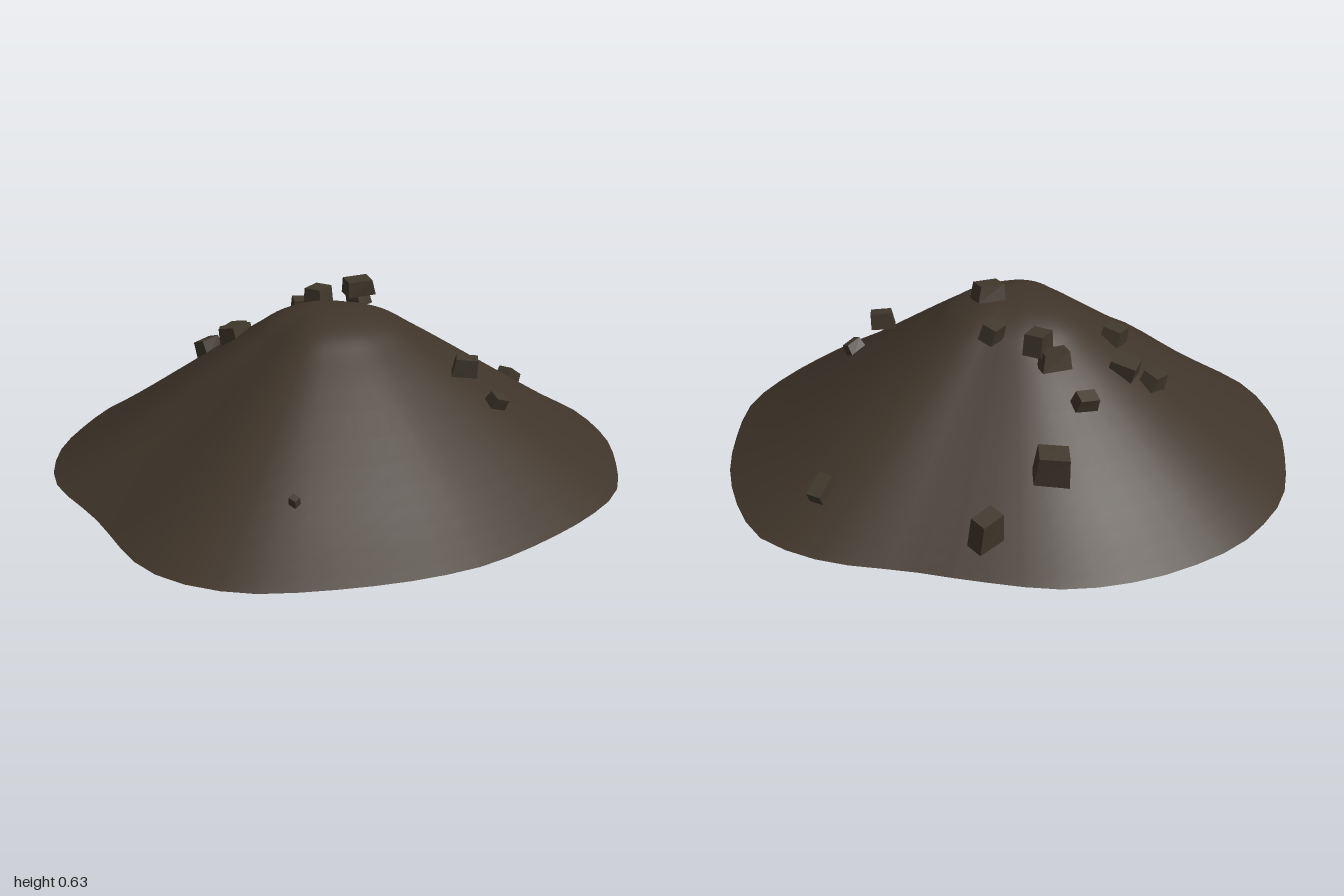
import * as THREE from 'three';

const soil = new THREE.MeshStandardMaterial({ color: 0x40352a });
soil.name = 'soil';
const clod = new THREE.MeshStandardMaterial({ color: 0x40382c });
clod.name = 'clod';

// Footprint of the heap as x, z pairs, running back -> left -> front -> right
const FOOTPRINT = [
  [-0.07, -0.99], [0.2, -0.935], [0.43, -0.81], [0.6, -0.62], [0.74, -0.43], [0.91, -0.22],
  [0.985, -0.05], [1, 0.03], [0.98, 0.17], [0.88, 0.42], [0.73, 0.63], [0.55, 0.81], [0.3, 0.915],
  [-0.05, 0.982], [-0.19, 0.985], [-0.45, 0.93], [-0.8, 0.77], [-0.9, 0.67], [-0.97, 0.55],
  [-1, 0.41], [-0.97, 0.04], [-0.97, -0.22], [-0.95, -0.34], [-0.83, -0.57], [-0.66, -0.75],
  [-0.45, -0.91], [-0.2, -0.985],
];

// Height against the fraction of the way from summit to rim
const SLOPE = [[0, 0.55], [0.08, 0.547], [0.15, 0.53], [0.22, 0.5], [0.29, 0.455],
  [0.4, 0.385], [0.65, 0.22], [0.85, 0.09], [1, 0]];

const SUMMIT = [-0.05, 0.01];

function rim(count) {
  const curve = new THREE.CatmullRomCurve3(
    FOOTPRINT.map(([x, z]) => new THREE.Vector3(x, 0, z)), true);
  return curve.getSpacedPoints(count).slice(0, count);
}

// Rings shrink from the rim to the summit while rising along the slope
function moundGeometry(outline) {
  const n = outline.length;
  const rings = new THREE.SplineCurve(SLOPE.map((p) => new THREE.Vector2(...p))).getPoints(24).slice(1);
  const pos = [SUMMIT[0], SLOPE[0][1], SUMMIT[1]];
  const index = [];
  rings.forEach((ring, r) => {
    for (let i = 0; i < n; i++) {
      const p = outline[i];
      pos.push(SUMMIT[0] + (p.x - SUMMIT[0]) * ring.x, ring.y, SUMMIT[1] + (p.z - SUMMIT[1]) * ring.x);
      const j = (i + 1) % n;
      const a = 1 + r * n + i, b = 1 + r * n + j;
      if (r === 0) index.push(0, b, a);
      else index.push(a - n, b - n, b, a - n, b, a);
    }
  });
  const geo = new THREE.BufferGeometry();
  geo.setAttribute('position', new THREE.Float32BufferAttribute(pos, 3));
  geo.setIndex(index);
  geo.computeVertexNormals();
  return geo;
}

// Flat underside
function baseGeometry(outline) {
  const geo = new THREE.ShapeGeometry(new THREE.Shape(outline.map((p) => new THREE.Vector2(p.x, p.z))));
  geo.rotateX(Math.PI / 2);
  return geo;
}

// Rough block: a box whose upper face is narrower and skewed
function clodGeometry(w, h, d, skew) {
  const geo = new THREE.BoxGeometry(w, h, d).toNonIndexed();
  const p = geo.attributes.position;
  for (let i = 0; i < p.count; i++) {
    if (p.getY(i) > 0) {
      p.setX(i, p.getX(i) * 0.85 + skew * w);
      p.setZ(i, p.getZ(i) * 0.88 - skew * d);
    } else if (p.getX(i) > 0) p.setZ(i, p.getZ(i) * 0.9);
  }
  geo.computeVertexNormals();
  return geo;
}

// x, y, z, width, height, depth, pitch, yaw, roll
const CLODS = [
  [0.07, 0.602, 0.0, 0.1, 0.055, 0.075, 0.1, -0.25, 0.08],
  [0.15, 0.52, -0.12, 0.075, 0.06, 0.06, -0.3, 0.3, 0.1],
  [0.065, 0.505, -0.25, 0.09, 0.075, 0.075, 0, 0.4, 0.05],
  [0.05, 0.46, -0.315, 0.1, 0.06, 0.07, 0.1, -0.4, 0],
  [0.035, 0.36, -0.455, 0.08, 0.05, 0.055, -0.4, -0.3, 0],
  [-0.2, 0.38, -0.39, 0.085, 0.06, 0.1, -0.25, 0.5, 0],
  [-0.28, 0.325, -0.455, 0.085, 0.06, 0.065, -0.3, 0.15, 0.2],
  [-0.28, 0.425, -0.26, 0.095, 0.06, 0.075, -0.2, 0.4, 0.2],
  [0.27, 0.258, -0.56, 0.115, 0.11, 0.085, -0.2, -0.65, 0],
  [0.54, 0.13, -0.555, 0.1, 0.11, 0.065, -0.2, 0.1, -0.1],
  [0.79, 0.125, -0.03, 0.1, 0.06, 0.06, 0, 0.35, -0.55],
  [0.22, 0.393, 0.41, 0.085, 0.06, 0.06, 0.1, -0.65, 0],
  [0.3, 0.275, 0.485, 0.065, 0.05, 0.05, 0.4, -0.1, -0.3],
  [-0.575, 0.172, 0.61, 0.025, 0.03, 0.03, 0.3, 0.3, 0.3],
];

export function createModel() {
  const group = new THREE.Group();
  group.name = 'dirtHeap';
  const add = (name, geo, mat) => {
    const mesh = new THREE.Mesh(geo, mat);
    mesh.name = name;
    group.add(mesh);
    return mesh;
  };

  const outline = rim(56);
  add('mound', moundGeometry(outline), soil);
  add('underside', baseGeometry(outline), soil);

  // Loose clods scattered over the slopes
  CLODS.forEach(([x, y, z, w, h, d, pitch, yaw, roll], i) => {
    const mesh = add(`clod${i + 1}`, clodGeometry(w, h, d, (i % 3 - 1) * 0.05), clod);
    mesh.position.set(x, y, z);
    mesh.rotation.set(pitch, yaw, roll);
  });
  return group;
}
